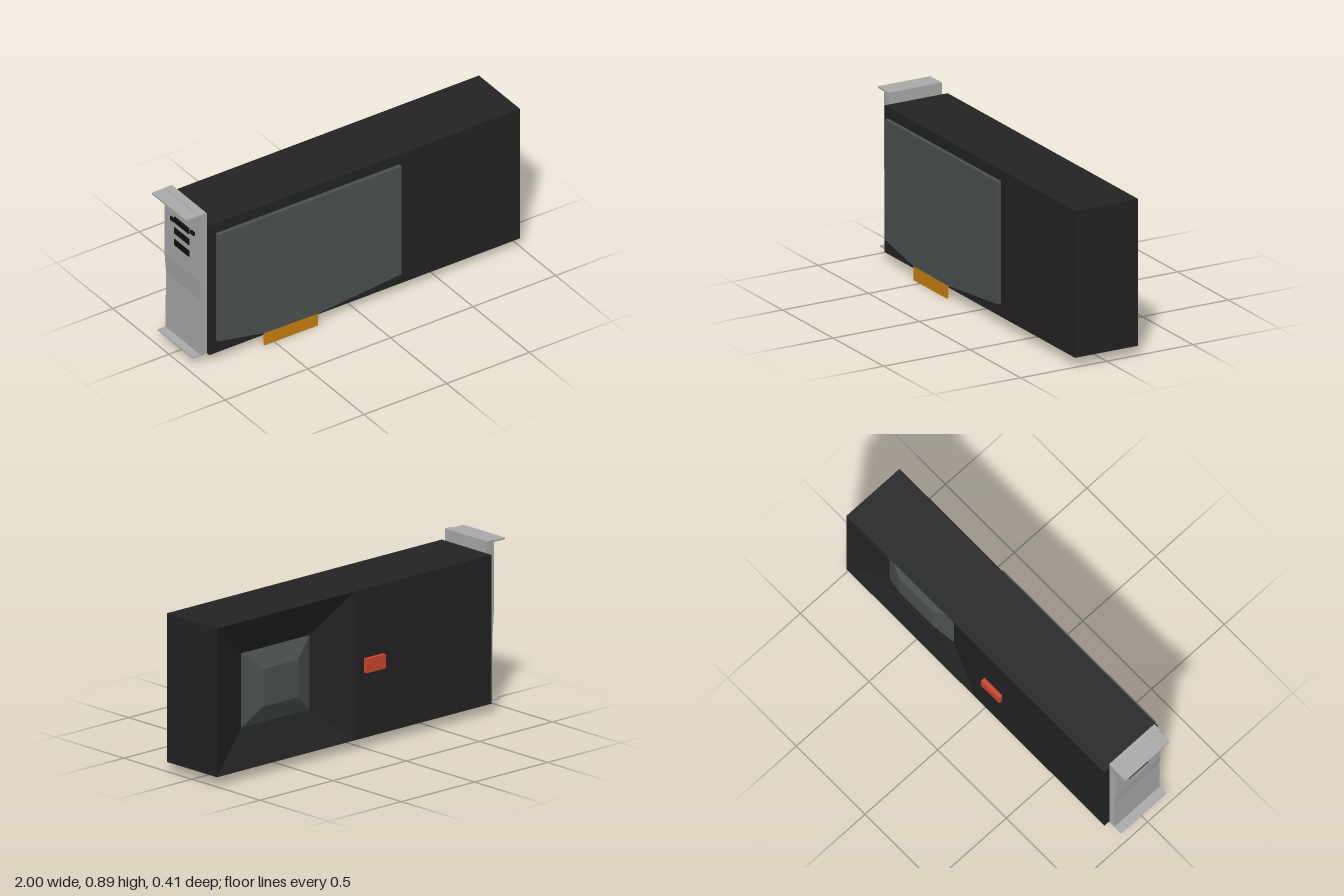
import * as THREE from 'three';

const mat = (name, color) => {
  const m = new THREE.MeshStandardMaterial({ color });
  m.name = name;
  return m;
};

export function createModel() {
  const black = mat('shroud black', 0x232323);
  const grey = mat('slate grey', 0x4c5152);
  const metal = mat('bracket metal', 0xababab);
  const gold = mat('contact gold', 0xcb8210);
  const red = mat('connector red', 0xcd462e);
  const dark = mat('slot black', 0x111111);

  const card = new THREE.Group();
  card.name = 'graphicsCard';
  const add = (name, geometry, material) => {
    const mesh = new THREE.Mesh(geometry, material);
    mesh.name = name;
    card.add(mesh);
    return mesh;
  };
  // Box given by its minimum and maximum corners
  const box = (x0, x1, y0, y1, z0, z1) =>
    new THREE.BoxGeometry(x1 - x0, y1 - y0, z1 - z0)
      .translate((x0 + x1) / 2, (y0 + y1) / 2, (z0 + z1) / 2);

  // Shroud: a box whose back is left open for the fan recess
  const back = -0.183;
  const shell = box(-0.88, 1, 0.05, 0.827, back, 0.183);
  shell.setIndex(Array.from(shell.index.array).slice(0, 30));
  shell.clearGroups();
  add('shroud', shell, black);

  // Flat part of the back
  const flat = new THREE.PlaneGeometry(0.94, 0.777).rotateY(Math.PI);
  add('backPanel', flat.translate(-0.41, 0.4385, back), black);

  // Fan recess: concentric rings of a grid, sunk and then domed
  const xs = [0.06, 0.295, 0.41, 0.65, 0.765, 1];
  const ys = [0.05, 0.244, 0.34, 0.537, 0.633, 0.827];
  const depths = [0, 0.075, 0.035];
  const point = (i, j) => [xs[i], ys[j], back + depths[Math.min(i, j, 5 - i, 5 - j)]];
  const recess = [], fan = [];
  for (let i = 0; i < 5; i++) {
    for (let j = 0; j < 5; j++) {
      const outer = i === 0 || j === 0 || i === 4 || j === 4;
      const a = point(i, j), b = point(i, j + 1), c = point(i + 1, j + 1), d = point(i + 1, j);
      // Fold corner cells along the diagonal towards the centre
      const tris = (i < 2) === (j < 2) ? [a, b, c, a, c, d] : [a, b, d, b, c, d];
      (outer ? recess : fan).push(...tris.flat());
    }
  }
  const faceted = (positions) => {
    const g = new THREE.BufferGeometry();
    g.setAttribute('position', new THREE.Float32BufferAttribute(positions, 3));
    g.computeVertexNormals();
    return g;
  };
  add('fanRecess', faceted(recess), black);
  add('fan', faceted(fan), grey);

  // Circuit board cover on the front, with a bowed lower edge
  const outline = new THREE.Shape([
    [-0.84, 0.768], [-0.84, 0.13], [-0.56, 0.076], [-0.235, 0.072], [0.268, 0.12], [0.268, 0.768],
  ].map(([x, y]) => new THREE.Vector2(x, y)));
  const board = new THREE.ExtrudeGeometry(outline, { depth: 0.022, bevelEnabled: false });
  add('circuitBoard', board.translate(0, 0, 0.183), grey);

  add('edgeContacts', box(-0.56, -0.235, 0, 0.08, 0.193, 0.203), gold);
  add('powerConnector', box(-0.135, -0.005, 0.392, 0.466, -0.205, back), red);

  // Mounting bracket, slightly narrower towards the foot
  const profile = new THREE.Shape([
    [-0.88, 0.05], [-0.88, 0.89], [-0.925, 0.89], [-0.925, 0.5], [-0.916, 0.38], [-0.92, 0.05],
  ].map(([x, y]) => new THREE.Vector2(x, y)));
  const plate = new THREE.ExtrudeGeometry(profile, { depth: 0.31, bevelEnabled: false });
  add('bracketPlate', plate.translate(0, 0, -0.15), metal);
  add('bracketTopFlange', box(-1, -0.92, 0.878, 0.887, -0.152, 0.152), metal);
  add('bracketFoot', box(-0.967, -0.915, 0.05, 0.056, -0.15, 0.16), metal);

  // Display sockets
  for (const y of [0.75, 0.685, 0.615]) {
    add('displaySocket', box(-0.929, -0.924, y - 0.018, y + 0.018, -0.06, 0.07), dark);
  }
  add('socketScrew', box(-0.934, -0.924, 0.75, 0.77, 0.09, 0.12), dark);
  add('socketScrew', box(-0.934, -0.924, 0.735, 0.755, -0.09, -0.06), dark);

  return card;
}
